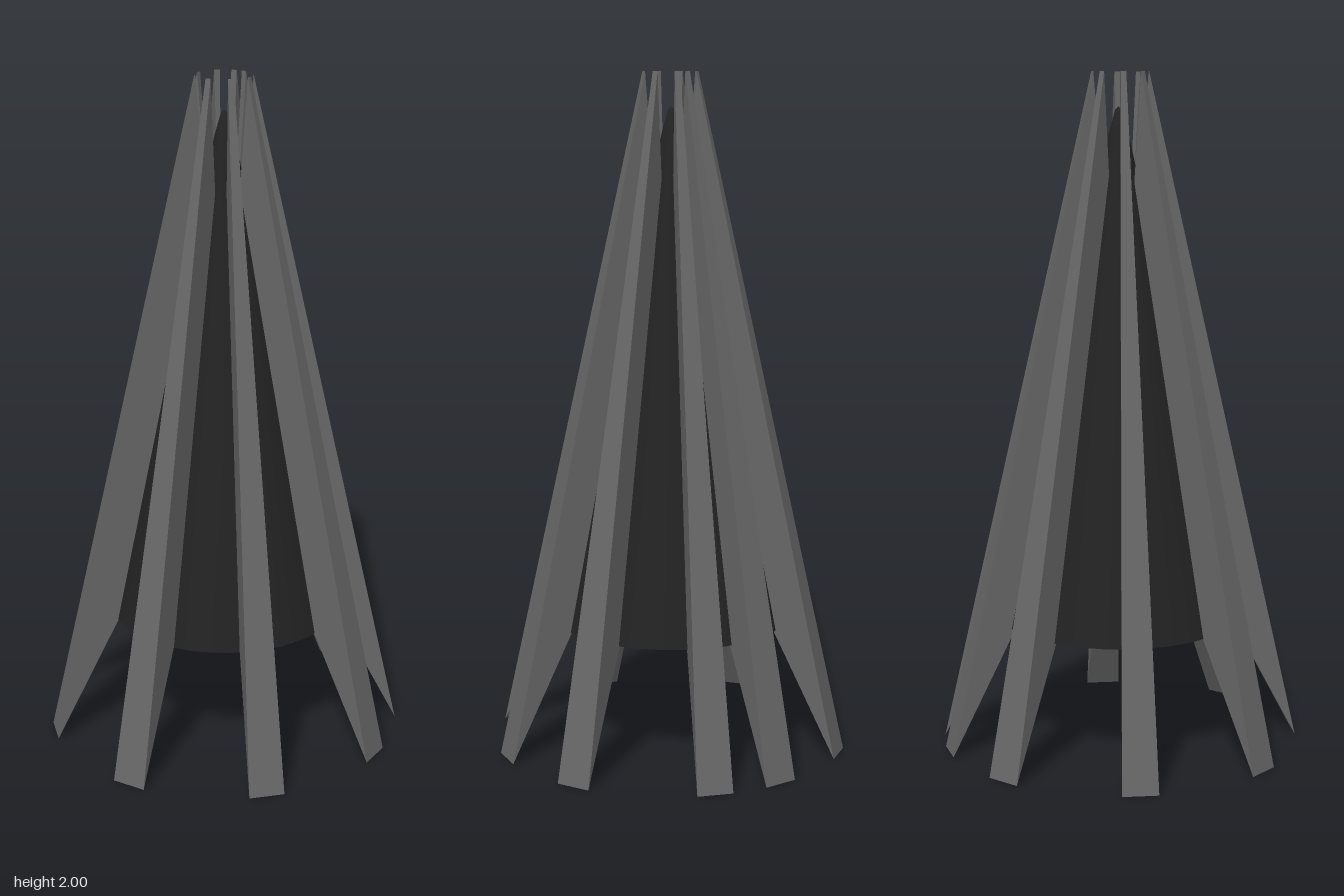
import * as THREE from 'three';
import { toCreasedNormals } from 'three/addons/utils/BufferGeometryUtils.js';

const STEP = Math.PI / 16; // each blade spans one of 32 sectors
const SECTORS = [0, 2, 6, 9, 13, 17, 21, 25, 29];

// Wedge from one sector of a tapered shell to a point on the axis
function bladeGeometry(sector) {
  const at = (r, y, i) => [r * Math.sin(i * STEP), y, -r * Math.cos(i * STEP)];
  const centre = [0, 1, 0];
  const ring = [
    at(0.535, 0, sector), at(0.084, 2, sector),
    at(0.084, 2, sector + 1), at(0.535, 0, sector + 1),
  ];
  const corners = [ring[0], ring[1], ring[2], ring[0], ring[2], ring[3]];
  ring.forEach((p, i) => corners.push(ring[(i + 1) % 4], p, centre));
  const geometry = new THREE.BufferGeometry();
  geometry.setAttribute('position', new THREE.Float32BufferAttribute(corners.flat(), 3));
  geometry.computeVertexNormals();
  return geometry;
}

export function createModel() {
  const model = new THREE.Group();
  model.name = 'finnedCone';
  const coreMaterial = new THREE.MeshStandardMaterial({ color: 0x222222 });
  const bladeMaterial = new THREE.MeshStandardMaterial({ color: 0x666666, flatShading: true });

  // Central cone with a closed base and a small rounded nose
  const profile = [[0, 0.37], [0.344, 0.37], [0.045, 1.75], [0.027, 1.83], [0.01, 1.89], [0, 1.9]]
    .map(([r, y]) => new THREE.Vector2(r, y));
  const core = new THREE.Mesh(
    toCreasedNormals(new THREE.LatheGeometry(profile, 24), 0.9), coreMaterial);
  core.name = 'coreCone';
  model.add(core);

  // Unevenly spaced blades around the cone
  const blades = new THREE.Group();
  blades.name = 'blades';
  for (const sector of SECTORS) {
    const blade = new THREE.Mesh(bladeGeometry(sector), bladeMaterial);
    blade.name = 'blade';
    blades.add(blade);
  }
  blades.position.z = 0.005;
  model.add(blades);
  return model;
}
